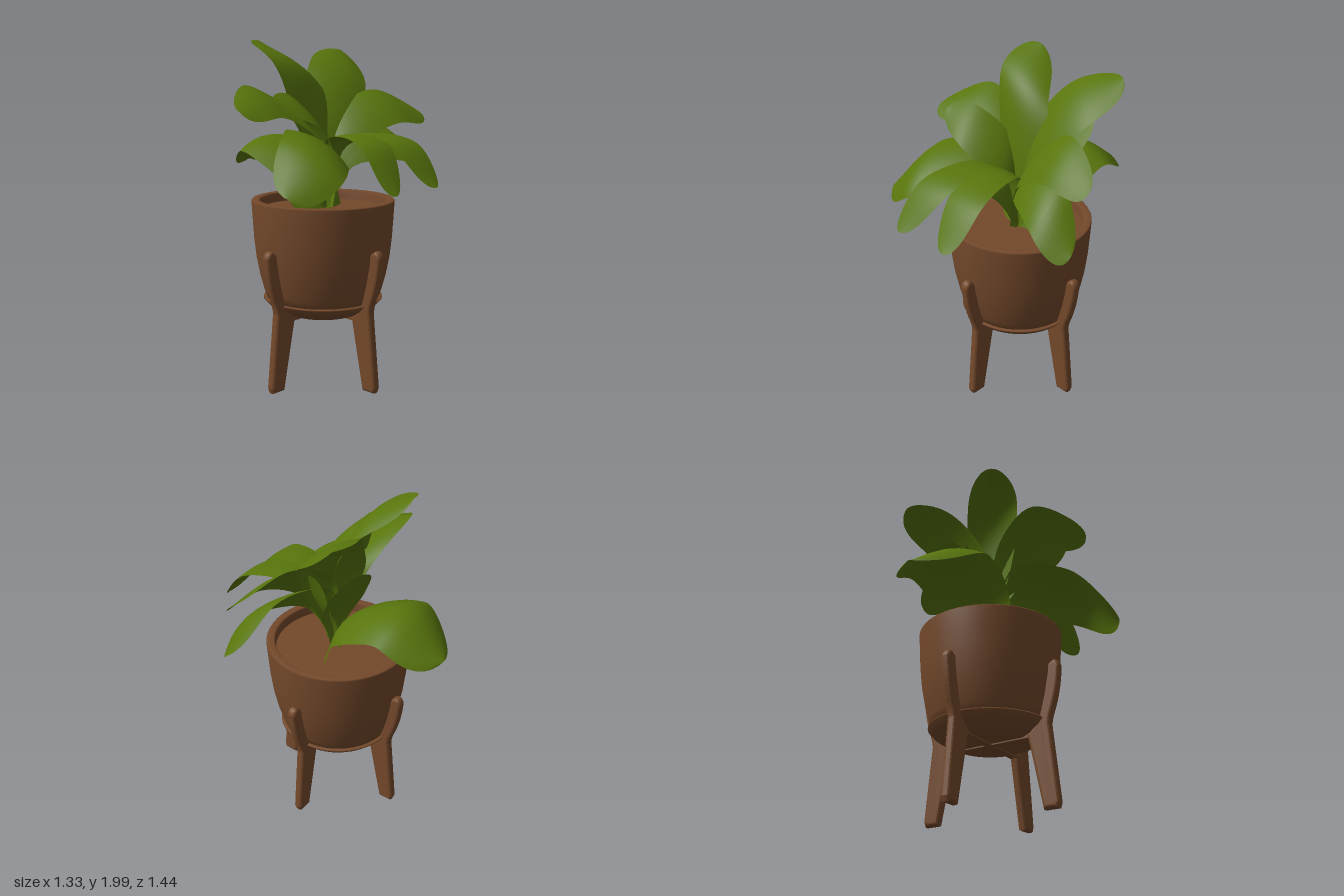
import * as THREE from 'three';

const brown = new THREE.MeshStandardMaterial({ color: 0x74492b });
brown.name = 'terracotta brown';
const green = new THREE.MeshStandardMaterial({ color: 0x58750c, side: THREE.DoubleSide });
green.name = 'leaf green';

const v2 = (p) => new THREE.Vector2(...p);
const v3 = (p) => new THREE.Vector3(...p);

function add(parent, name, geometry, material) {
  const mesh = new THREE.Mesh(geometry, material);
  mesh.name = name;
  parent.add(mesh);
  return mesh;
}

// Leaf blade: a spine from the shared root, swept with a half-width vector.
// "rise" is the share of the height gained in the first quarter of the reach,
// "base" the share of the width at the root; wider leaves arch more.
function leafGeometry({ mid, tip, rise, side, base = 0.16 }) {
  const rows = 28, cols = 8;
  const root = v3([0, 1.03, 0.02]);
  const crown = v3(mid);
  const neck = root.clone().lerp(crown, 0.23);
  neck.y = THREE.MathUtils.lerp(root.y, crown.y, rise);
  const curve = new THREE.CatmullRomCurve3([root, neck, crown, v3(tip)]);
  const across = v3(side);
  const arch = 5 * across.length() ** 3;
  const positions = [], indices = [];
  for (let i = 0; i <= rows; i++) {
    const t = 1 - (1 - i / rows) ** 1.7;
    const centre = curve.getPointAt(t);
    const up = across.clone().cross(curve.getTangentAt(t)).normalize();
    if (up.y < 0) up.negate();
    const rounding = t > 0.62 ? Math.max(0, 1 - ((t - 0.62) / 0.38) ** 2.4) ** 0.45 : 1;
    const width = THREE.MathUtils.lerp(base, 1, THREE.MathUtils.smoothstep(t, 0, 0.5)) * Math.max(rounding, 0.1);
    for (let j = 0; j <= cols; j++) {
      const v = (j / cols) * 2 - 1;
      const p = centre.clone()
        .addScaledVector(across, v * width)
        .addScaledVector(up, -arch * v * v * width);
      positions.push(p.x, p.y, p.z);
      if (i < rows && j < cols) {
        const a = i * (cols + 1) + j, b = a + cols + 1;
        indices.push(a, a + 1, b, a + 1, b + 1, b);
      }
    }
  }
  const geometry = new THREE.BufferGeometry();
  geometry.setAttribute('position', new THREE.Float32BufferAttribute(positions, 3));
  geometry.setIndex(indices);
  geometry.computeVertexNormals();
  return geometry;
}

// Each leaf: middle and tip of its spine, early rise, half-width vector
const leaves = {
  backLeaf: { mid: [0, 1.435, -0.44], tip: [0.05, 1.26, -0.725], rise: 0.58, side: [0.26, 0, 0], base: 0.75 },
  tallLeaf: { mid: [-0.09, 1.83, -0.1], tip: [-0.18, 1.99, -0.35], rise: 0.58, side: [0.185, -0.06, 0] },
  tallLeftLeaf: { mid: [0.26, 1.82, -0.12], tip: [0.45, 1.95, -0.3], rise: 0.6, side: [0.14, -0.07, 0.11] },
  upperLeftLeaf: { mid: [0.38, 1.62, 0.13], tip: [0.66, 1.555, 0.2], rise: 0.7, side: [0, -0.1, 0.11] },
  upperRightLeaf: { mid: [-0.38, 1.67, -0.05], tip: [-0.645, 1.6, 0.03], rise: 0.68, side: [0.02, -0.09, 0.14] },
  smallRightLeaf: { mid: [-0.27, 1.61, 0.13], tip: [-0.475, 1.65, 0.12], rise: 0.68, side: [0.02, -0.09, 0.1] },
  lowerRightLeaf: { mid: [-0.42, 1.41, 0.35], tip: [-0.665, 1.19, 0.4], rise: 0.96, side: [0.06, -0.1, 0.18] },
  lowerLeftLeaf: { mid: [0.4, 1.41, 0.23], tip: [0.625, 1.2, 0.28], rise: 0.95, side: [0, -0.11, 0.13] },
  frontRightLeaf: { mid: [-0.12, 1.44, 0.49], tip: [-0.21, 1.19, 0.715], rise: 0.98, side: [0.118, 0, 0] },
  frontLeftLeaf: { mid: [0.1, 1.44, 0.49], tip: [0.13, 1.2, 0.71], rise: 0.98, side: [0.122, 0, 0] },
  innerBackLeaf: { mid: [0.13, 1.5, -0.15], tip: [0.25, 1.71, -0.29], rise: 0.45, side: [0.13, -0.03, 0.05] },
  innerLeftLeaf: { mid: [0.16, 1.42, 0.02], tip: [0.27, 1.63, -0.05], rise: 0.4, side: [0.02, -0.02, -0.1], base: 0.6 },
};

// Leg outline with a bent outer edge and a rounded top
function legGeometry() {
  const shape = new THREE.Shape();
  shape.moveTo(0.336, 0);
  shape.lineTo(0.422, 0);
  shape.lineTo(0.432, 0.03);
  shape.lineTo(0.388, 0.46);
  shape.quadraticCurveTo(0.392, 0.5, 0.412, 0.55);
  shape.quadraticCurveTo(0.45, 0.66, 0.458, 0.79);
  shape.quadraticCurveTo(0.45, 0.83, 0.42, 0.83);
  shape.lineTo(0.37, 0.8);
  shape.lineTo(0.32, 0.5);
  shape.lineTo(0.248, 0.42);
  shape.closePath();
  const bevel = 0.02, depth = 0.016;
  return new THREE.ExtrudeGeometry(shape, {
    depth, bevelSize: bevel, bevelThickness: bevel, bevelOffset: -bevel, bevelSegments: 4, curveSegments: 6,
  }).translate(0, 0, -depth / 2);
}

export function createModel() {
  const model = new THREE.Group();
  model.name = 'pottedPlant';

  const planter = new THREE.Group();
  planter.name = 'planter';
  planter.position.x = -0.007;
  model.add(planter);

  // Pot wall with rim and inner face
  const wall = [
    [0.3, 0.49], [0.33, 0.5], [0.348, 0.55], [0.372, 0.64], [0.393, 0.75], [0.405, 0.86], [0.412, 0.97],
    [0.418, 1.075], [0.413, 1.083], [0.375, 1.083], [0.368, 1.075], [0.362, 1.0],
  ];
  add(planter, 'pot', new THREE.LatheGeometry(wall.map(v2), 48), brown);

  // Soil
  add(planter, 'soil', new THREE.CylinderGeometry(0.366, 0.366, 0.02, 48).translate(0, 1.015, 0), brown);

  // Shallow dish under the pot
  const dish = [[0, 0.41], [0.22, 0.41], [0.27, 0.43], [0.325, 0.468], [0.352, 0.497], [0.35, 0.505], [0.32, 0.505]];
  add(planter, 'dish', new THREE.LatheGeometry(dish.map(v2), 48), brown);

  // Four legs and the crossed bars joining them
  const leg = legGeometry();
  for (let i = 0; i < 4; i++) add(planter, 'leg', leg, brown).rotation.y = (i * Math.PI) / 2;
  const bar = new THREE.BoxGeometry(0.54, 0.025, 0.045).translate(0, 0.415, 0);
  for (let i = 0; i < 2; i++) add(planter, 'crossBar', bar, brown).rotation.y = (i * Math.PI) / 2;

  // Foliage
  const foliage = new THREE.Group();
  foliage.name = 'foliage';
  model.add(foliage);
  for (const [name, leaf] of Object.entries(leaves)) add(foliage, name, leafGeometry(leaf), green);

  return model;
}
